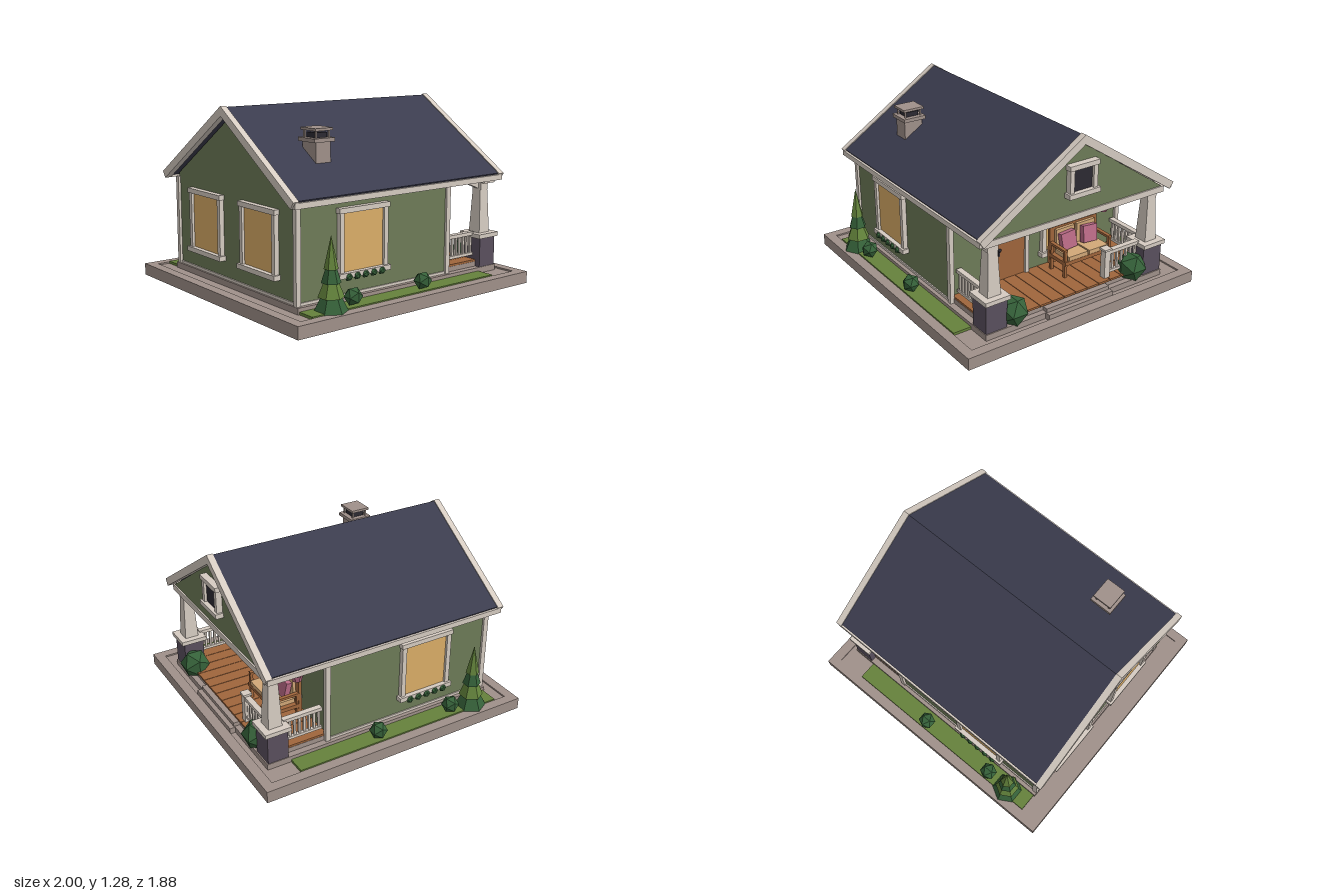
import * as THREE from 'three';

const C = {
  stone: 0xa0918a, wall: 0x6e7c58, trim: 0xd6ccc2, roof: 0x3b3c4e, plinth: 0x5a505e, wood: 0xa0663c,
  glow: 0xdcae68, dark: 0x2c2a32, grass: 0x66823c, leaf: 0x36623a, leafLight: 0x64843c, pink: 0xba6a86, tan: 0xd2a878,
};
const mats = {};
function mat(color, flat = false) {
  return (mats[color + '_' + flat] ??= new THREE.MeshStandardMaterial({ color, flatShading: flat }));
}

function add(parent, name, geo, color, flat) {
  const m = new THREE.Mesh(geo, mat(color, flat));
  m.name = name;
  parent.add(m);
  return m;
}

// Box given by its limits on each axis
function box(parent, name, color, x0, x1, y0, y1, z0, z1) {
  const m = add(parent, name, new THREE.BoxGeometry(x1 - x0, y1 - y0, z1 - z0), color);
  m.position.set((x0 + x1) / 2, (y0 + y1) / 2, (z0 + z1) / 2);
  return m;
}

// Profile in (z, y), symmetric about z = 0, extruded from x0 to x1
function extrudeX(parent, name, color, pts, x0, x1) {
  const shape = new THREE.Shape(pts.map(p => new THREE.Vector2(...p)));
  const geo = new THREE.ExtrudeGeometry(shape, { depth: x1 - x0, bevelEnabled: false });
  geo.rotateY(Math.PI / 2);
  geo.translate(x0, 0, 0);
  return add(parent, name, geo, color);
}

const SLOPE = 0.652;
// Inverted V with ends cut square to the slope
function chevron(top, end, thick) {
  const t = thick * Math.sqrt(1 + SLOPE * SLOPE);
  const e = end - thick * 0.546, y = z => top - SLOPE * z;
  return [[0, top], [-end, y(end)], [-e, y(e) - t], [0, top - t], [e, y(e) - t], [end, y(end)]];
}

// Framed window facing +z, sitting on its wall at z = 0
function makeWindow(parent, name, w, h, glass, x, y, z, turn) {
  const g = new THREE.Group();
  g.name = name;
  const a = w / 2, f = 0.033;
  box(g, 'pane', glass, -a + f, a - f, f, h - f, -0.01, 0.015);
  for (const s of [-1, 1]) box(g, 'jamb', C.trim, s * (a - f / 2) - f / 2, s * (a - f / 2) + f / 2, 0.02, h - f, -0.01, 0.033);
  box(g, 'head', C.trim, -a - 0.008, a + 0.008, h - f, h, -0.01, 0.04);
  box(g, 'sill', C.trim, -a - 0.014, a + 0.014, 0, f, -0.01, 0.048);
  g.position.set(x, y, z);
  g.rotation.y = turn;
  parent.add(g);
}

function bush(parent, x, y, z, r, name = 'bush') {
  const m = add(parent, name, new THREE.IcosahedronGeometry(r, 0), C.leaf, true);
  m.position.set(x, y, z);
}

// Rail with balusters between two points at deck level
function railing(parent, ax, az, bx, bz, count) {
  const g = new THREE.Group();
  g.name = 'railing';
  const len = Math.hypot(bx - ax, bz - az);
  box(g, 'topRail', C.trim, 0, len, 0.335, 0.36, -0.02, 0.02);
  box(g, 'bottomRail', C.trim, 0, len, 0.19, 0.21, -0.014, 0.014);
  for (let i = 0; i < count; i++) {
    const x = (len * (i + 0.5)) / count;
    box(g, 'baluster', C.trim, x - 0.008, x + 0.008, 0.21, 0.335, -0.008, 0.008);
  }
  g.position.set(ax, 0, az);
  g.rotation.y = Math.atan2(-(bz - az), bx - ax);
  parent.add(g);
}

export function createModel() {
  const root = new THREE.Group();
  root.name = 'cottage';

  // Ground slab with a raised rim
  box(root, 'slab', C.stone, -1, 1, 0, 0.072, -0.938, 0.938);
  for (const s of [-1, 1]) {
    box(root, 'slabRimSide', C.stone, -1, 1, 0.072, 0.083, s * 0.903 - 0.035, s * 0.903 + 0.035);
    box(root, 'slabRimEnd', C.stone, s * 0.965 - 0.035, s * 0.965 + 0.035, 0.072, 0.083, -0.868, 0.868);
    box(root, 'lawn', C.grass, -0.84, 0.72, 0.072, 0.09, s * 0.795 - 0.07, s * 0.795 + 0.07);
  }
  box(root, 'foundation', C.stone, -0.85, 0.89, 0.07, 0.114, -0.735, 0.735);

  // House body
  extrudeX(root, 'houseWalls', C.wall, [[-0.7, 0.114], [0.7, 0.114], [0.7, 0.765], [0, 1.222], [-0.7, 0.765]], -0.83, 0.43);
  box(root, 'baseTrim', C.trim, -0.838, 0.438, 0.114, 0.132, -0.708, 0.708);
  for (const s of [-1, 1]) for (const x of [-0.83, 0.432])
    box(root, 'cornerTrim', C.trim, x - 0.018, x + 0.018, 0.114, 0.74, s * 0.7 - 0.016, s * 0.7 + 0.016);

  // Roof, rake boards and eave boards
  extrudeX(root, 'roof', C.roof, chevron(1.277, 0.768, 0.036), -0.872, 0.862);
  for (const x of [-0.892, 0.88]) extrudeX(root, 'rakeBoard', C.trim, chevron(1.284, 0.782, 0.054), x - 0.022, x + 0.022);
  for (const s of [-1, 1]) box(root, 'eaveBoard', C.trim, -0.9, 0.89, 0.729, 0.766, s * 0.765 - 0.013, s * 0.765 + 0.013);

  // Porch gable and beam
  extrudeX(root, 'porchGable', C.wall, [[-0.715, 0.745], [0.715, 0.745], [0, 1.225]], 0.81, 0.862);
  box(root, 'porchBeam', C.trim, 0.77, 0.872, 0.705, 0.748, -0.725, 0.725);
  makeWindow(root, 'gableWindow', 0.22, 0.22, C.dark, 0.87, 0.88, 0, Math.PI / 2);

  // Windows with planting below the side ones
  for (const s of [-1, 1]) {
    makeWindow(root, 'sideWindow', 0.395, 0.445, C.glow, -0.325, 0.24, s * 0.7, s > 0 ? 0 : Math.PI);
    makeWindow(root, 'backWindow', 0.395, 0.445, C.glow, -0.83, 0.24, s * 0.315, -Math.PI / 2);
    for (let i = 0; i < 5; i++) bush(root, -0.463 + i * 0.068, 0.246, s * 0.742, 0.028, 'windowPlant');
  }
  makeWindow(root, 'porchWindow', 0.325, 0.445, C.glow, 0.43, 0.24, -0.185, Math.PI / 2);

  // Porch deck of planks, and steps
  box(root, 'deckBase', C.stone, 0.42, 0.85, 0.114, 0.148, -0.69, 0.69);
  for (let i = 0; i < 14; i++) {
    const z = -0.69 + (i * 1.38) / 14;
    box(root, 'deckPlank', C.wood, 0.43, 0.86, 0.148, 0.162, z + 0.002, z + 0.0965);
  }
  box(root, 'upperStep', C.stone, 0.84, 0.895, 0.08, 0.142, -0.255, 0.265);
  box(root, 'lowerStep', C.stone, 0.84, 0.928, 0.072, 0.114, -0.265, 0.272);

  // Tapered porch columns on plinths
  for (const s of [-1, 1]) {
    const z = s * 0.65;
    box(root, 'columnPlinth', C.plinth, 0.735, 0.882, 0.114, 0.322, z - 0.08, z + 0.08);
    box(root, 'plinthCap', C.trim, 0.716, 0.902, 0.32, 0.35, z - 0.094, z + 0.094);
    const shaft = add(root, 'columnShaft', new THREE.CylinderGeometry(0.047, 0.07, 0.36, 4, 1).rotateY(Math.PI / 4), C.trim, true);
    shaft.position.set(0.808, 0.53, z);
    box(root, 'columnCapital', C.trim, 0.775, 0.843, 0.655, 0.71, z - 0.04, z + 0.04);
    const brace = add(root, 'columnBrace', new THREE.BoxGeometry(0.2, 0.035, 0.035), C.trim);
    brace.position.set(0.71, 0.708, z);
    brace.rotation.z = -0.38;
    railing(root, 0.45, z, 0.735, z, 8);
  }

  // Front railing with its end post
  railing(root, 0.81, -0.29, 0.81, -0.57, 7);
  box(root, 'railingPost', C.trim, 0.787, 0.833, 0.16, 0.365, -0.313, -0.267);
  box(root, 'railingPostCap', C.trim, 0.78, 0.84, 0.365, 0.38, -0.32, -0.26);

  // Front door
  box(root, 'door', C.wood, 0.42, 0.445, 0.16, 0.638, 0.12, 0.368);
  box(root, 'doorHead', C.trim, 0.42, 0.47, 0.635, 0.672, 0.085, 0.402);
  for (const z of [0.105, 0.382]) box(root, 'doorJamb', C.trim, 0.42, 0.46, 0.16, 0.636, z - 0.015, z + 0.015);
  for (const z of [0.19, 0.305]) box(root, 'doorPane', C.glow, 0.44, 0.449, 0.535, 0.586, z - 0.028, z + 0.028);
  add(root, 'doorKnob', new THREE.SphereGeometry(0.012, 10, 8), C.dark).position.set(0.457, 0.395, 0.33);
  box(root, 'doorHandlePlate', C.dark, 0.44, 0.45, 0.345, 0.4, 0.325, 0.335);

  // Wall lantern
  box(root, 'lanternArm', C.dark, 0.43, 0.5, 0.585, 0.597, 0.05, 0.062);
  box(root, 'lanternGlass', C.glow, 0.475, 0.519, 0.52, 0.58, 0.034, 0.078);
  box(root, 'lanternBase', C.dark, 0.469, 0.525, 0.51, 0.522, 0.028, 0.084);
  add(root, 'lanternCap', new THREE.ConeGeometry(0.05, 0.035, 4).rotateY(Math.PI / 4), C.dark, true).position.set(0.497, 0.595, 0.056);
  for (const x of [0.475, 0.519]) for (const z of [0.034, 0.078])
    box(root, 'lanternPost', C.dark, x - 0.004, x + 0.004, 0.515, 0.585, z - 0.004, z + 0.004);

  // Hanging flower pot
  add(root, 'flowerPot', new THREE.CylinderGeometry(0.045, 0.03, 0.055, 8), C.pink, true).position.set(0.535, 0.523, -0.49);
  add(root, 'flowerPotRim', new THREE.CylinderGeometry(0.051, 0.051, 0.014, 8), C.pink, true).position.set(0.535, 0.551, -0.49);
  bush(root, 0.535, 0.568, -0.49, 0.042, 'potPlant');

  // Bench with cushions
  box(root, 'benchBack', C.wood, 0.485, 0.508, 0.2, 0.47, -0.46, -0.05);
  box(root, 'benchSeat', C.wood, 0.5, 0.68, 0.255, 0.282, -0.46, -0.05);
  for (const s of [-1, 1]) {
    const z = -0.255 + s * 0.192, c = -0.255 + s * 0.088;
    box(root, 'benchArm', C.wood, 0.5, 0.67, 0.35, 0.367, z - 0.014, z + 0.014);
    for (const x of [0.5, 0.65]) box(root, 'benchLeg', C.wood, x, x + 0.022, 0.16, 0.352, z - 0.011, z + 0.011);
    box(root, 'seatCushion', C.tan, 0.52, 0.678, 0.282, 0.312, c - 0.082, c + 0.082);
    box(root, 'backCushion', C.tan, 0.506, 0.53, 0.312, 0.455, c - 0.078, c + 0.078);
    const pillow = add(root, 'pillow', new THREE.BoxGeometry(0.04, 0.12, 0.12), C.pink);
    pillow.position.set(0.56, 0.375, -0.255 + s * 0.092);
    pillow.rotation.set(s * 0.08, 0, 0.18);
  }

  // Chimney
  const cx = -0.485, cz = 0.447;
  const block = (name, color, hx, hz, y0, y1) => box(root, name, color, cx - hx, cx + hx, y0, y1, cz - hz, cz + hz);
  block('chimneyStack', C.stone, 0.058, 0.07, 0.9, 1.075);
  block('chimneyCollar', C.stone, 0.082, 0.085, 1.072, 1.097);
  block('chimneyFlue', C.dark, 0.045, 0.047, 1.097, 1.13);
  block('chimneyCap', C.stone, 0.07, 0.078, 1.143, 1.16);
  for (const sx of [-1, 1]) for (const sz of [-1, 1])
    box(root, 'chimneyCapPost', C.stone, cx + sx * 0.052 - 0.006, cx + sx * 0.052 + 0.006, 1.095, 1.145, cz + sz * 0.058 - 0.006, cz + sz * 0.058 + 0.006);

  // Conifers from stacked six-sided tiers, and round bushes
  for (const s of [-1, 1]) {
    const tiers = [[0.108, 0.083, 0.3], [0.084, 0.17, 0.38], [0.063, 0.26, 0.46], [0.046, 0.345, 0.555]];
    tiers.forEach(([r, y0, y1], i) => {
      const cone = add(root, 'treeTier', new THREE.ConeGeometry(r, y1 - y0, 6), i % 2 ? C.leafLight : C.leaf, true);
      cone.position.set(-0.66, (y0 + y1) / 2, s * 0.815);
    });
    for (const x of [-0.485, 0.105]) bush(root, x, 0.143, s * 0.815, 0.062);
    bush(root, 0.84, 0.19, s * 0.5, 0.108, 'porchBush');
  }
  return root;
}
